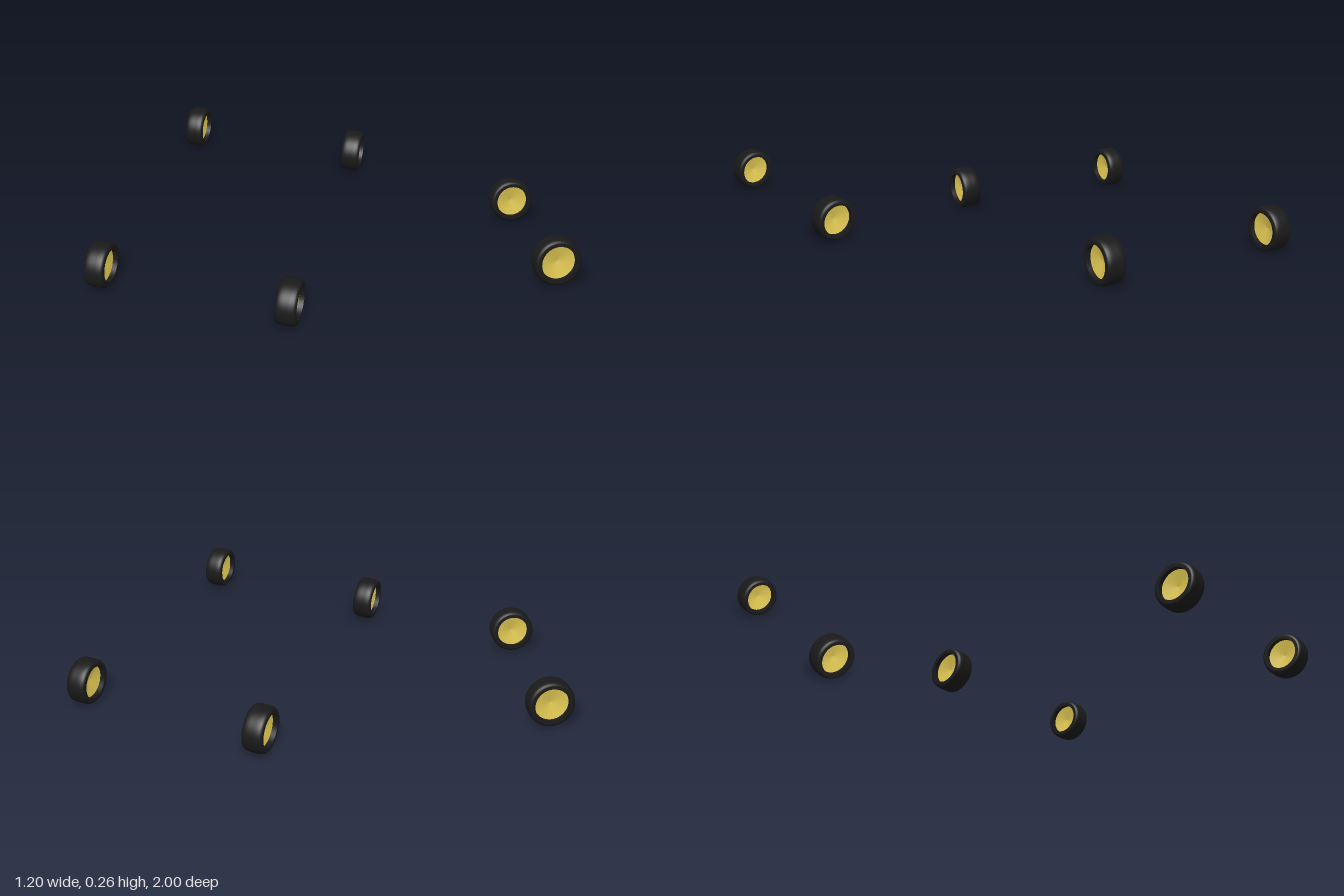
import * as THREE from 'three';

const SEGMENTS = 48;
const RADIUS = 0.13;
const HALF_WIDTH = 0.057;
const HUB_RADIUS = 0.094;
const HUB_RIM = 0.028; // distance of the hub's edge from the wheel's middle plane
const HUB_TIP = 0.008; // the dished centre lies deeper

const rubber = new THREE.MeshStandardMaterial({ color: 0x1a1a1a });
const gold = new THREE.MeshStandardMaterial({ color: 0xe0c853, side: THREE.DoubleSide });

// Revolve [radius, offset] points around the x axis
function lathe(points, material, name) {
  const geometry = new THREE.LatheGeometry(points.map(([r, x]) => new THREE.Vector2(r, x)), SEGMENTS);
  geometry.rotateZ(-Math.PI / 2);
  const mesh = new THREE.Mesh(geometry, material);
  mesh.name = name;
  return mesh;
}

function createWheel(name) {
  const wheel = new THREE.Group();
  wheel.name = name;

  // Tread with rounded shoulders
  const shoulder = [[0.112, HALF_WIDTH], [0.118, 0.0555], [0.123, 0.051], [0.127, 0.043], [0.1295, 0.03], [RADIUS, 0.015]];
  const tread = [...shoulder.map(([r, x]) => [r, -x]), ...shoulder.slice().reverse()];
  wheel.add(lathe(tread, rubber, 'tyreTread'));

  for (const side of [1, -1]) {
    const face = new THREE.Group();
    face.name = side > 0 ? 'leftFace' : 'rightFace';
    // Flat sidewall, wall of the recess and dished hub
    face.add(
      lathe([[0.112, HALF_WIDTH], [HUB_RADIUS, HALF_WIDTH]], rubber, 'sidewall'),
      lathe([[HUB_RADIUS, HALF_WIDTH], [HUB_RADIUS, HUB_RIM]], rubber, 'recessWall'),
      lathe([[HUB_RADIUS, HUB_RIM], [0, HUB_TIP]], gold, 'hub')
    );
    if (side < 0) face.rotation.y = Math.PI;
    wheel.add(face);
  }
  return wheel;
}

export function createModel() {
  const model = new THREE.Group();
  model.name = 'wheelSet';
  // The left pair sits slightly further forward than the right pair
  const places = [
    ['frontLeftWheel', 0.543, 0.867],
    ['frontRightWheel', -0.543, 0.838],
    ['backLeftWheel', 0.543, -0.842],
    ['backRightWheel', -0.543, -0.87]
  ];
  for (const [name, x, z] of places) {
    const wheel = createWheel(name);
    wheel.position.set(x, RADIUS, z);
    model.add(wheel);
  }
  return model;
}
